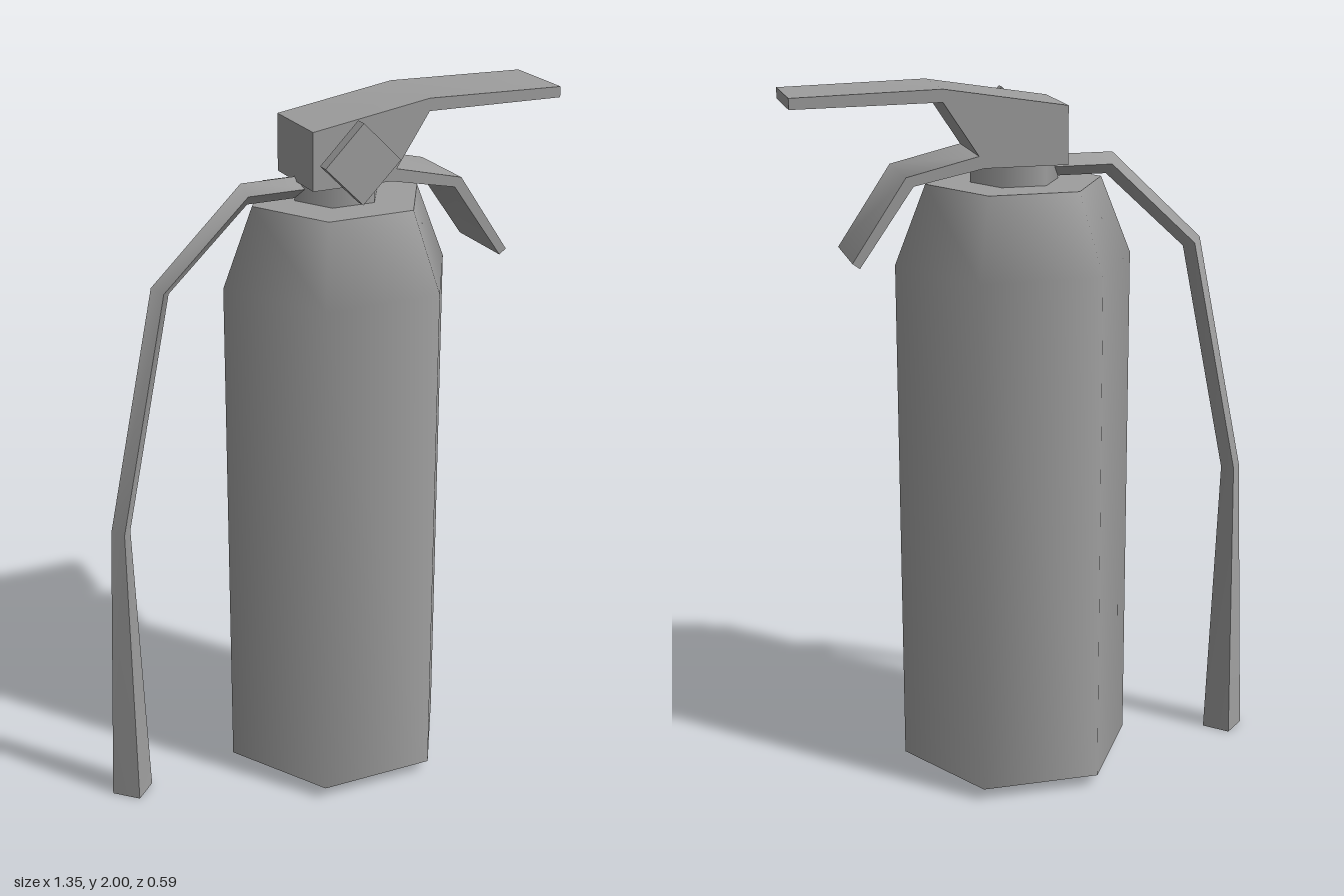
import * as THREE from 'three';
import { toCreasedNormals } from 'three/addons/utils/BufferGeometryUtils.js';

const AXIS_X = 0.045; // the tank's axis sits slightly to the model's left
const CREASE = 0.87; // bends softer than this stay smooth

export function createModel() {
  const group = new THREE.Group();
  const material = new THREE.MeshStandardMaterial({ color: 0x9e9e9e });

  const add = (name, geometry, x = 0, y = 0, z = 0) => {
    const mesh = new THREE.Mesh(geometry, material);
    mesh.name = name;
    mesh.position.set(x, y, z);
    group.add(mesh);
    return mesh;
  };

  // Six-sided tank with rounded shading, closed by flat ends
  const profile = [[0.338, 0.035], [0.338, 1.51], [0.25, 1.73]]
    .map(([r, y]) => new THREE.Vector2(r, y));
  add('tankSide', new THREE.LatheGeometry(profile, 6, Math.PI / 2), AXIS_X);
  add('tankTop', new THREE.CircleGeometry(0.25, 6), AXIS_X, 1.73).rotation.x = -Math.PI / 2;
  add('tankBottom', new THREE.CircleGeometry(0.338, 6), AXIS_X, 0.035).rotation.x = Math.PI / 2;

  // Neck between tank and valve
  const neck = new THREE.CylinderGeometry(0.125, 0.125, 0.08, 6, 1, false, Math.PI / 2);
  add('neck', neck, AXIS_X, 1.76);

  // Valve block with the carrying handle above and the squeeze lever below
  const outline = new THREE.Shape([
    [-0.078, 1.785], [0.155, 1.785], [0.35, 1.745], [0.5, 1.53], [0.52, 1.545],
    [0.37, 1.77], [0.17, 1.818], [0.267, 1.965], [0.675, 1.96], [0.675, 1.99],
    [0.267, 2.0], [-0.078, 1.945],
  ].map(([x, y]) => new THREE.Vector2(x, y)));
  const handle = new THREE.ExtrudeGeometry(outline, { depth: 0.228, bevelEnabled: false });
  add('valveAndHandles', toCreasedNormals(handle, CREASE), 0, 0, -0.112);

  // Diamond-shaped pressure gauge on the front
  const gauge = new THREE.CylinderGeometry(0.111, 0.111, 0.034, 4);
  add('gauge', toCreasedNormals(gauge, CREASE), AXIS_X, 1.857, 0.15).rotation.x = Math.PI / 2;

  add('hose', toCreasedNormals(hoseGeometry(), CREASE));
  return group;
}

// Hose with a diamond section, widening into the nozzle.
// Each station: centre x, y, outward offset x, y, half width in z
function hoseGeometry() {
  const stations = [
    [-0.03, 1.767, 0, 0.03, 0.03],
    [-0.228, 1.767, -0.009, 0.03, 0.03],
    [-0.476, 1.531, -0.025, 0.012, 0.03],
    [-0.616, 0.845, -0.028, 0.002, 0.03],
    [-0.616, 0, -0.061, 0, 0.06],
  ];
  const positions = [];
  const index = [];
  for (const [x, y, ox, oy, w] of stations) {
    positions.push(x + ox, y + oy, 0, x, y, w, x - ox, y - oy, 0, x, y, -w);
  }
  for (let s = 0; s < stations.length - 1; s++) {
    for (let k = 0; k < 4; k++) {
      const a = s * 4 + k, b = s * 4 + (k + 1) % 4;
      index.push(a, a + 4, b, b, a + 4, b + 4);
    }
  }
  const e = (stations.length - 1) * 4;
  index.push(0, 1, 2, 0, 2, 3, e, e + 2, e + 1, e, e + 3, e + 2); // end caps
  const geometry = new THREE.BufferGeometry();
  geometry.setAttribute('position', new THREE.Float32BufferAttribute(positions, 3));
  geometry.setIndex(index);
  return geometry;
}
